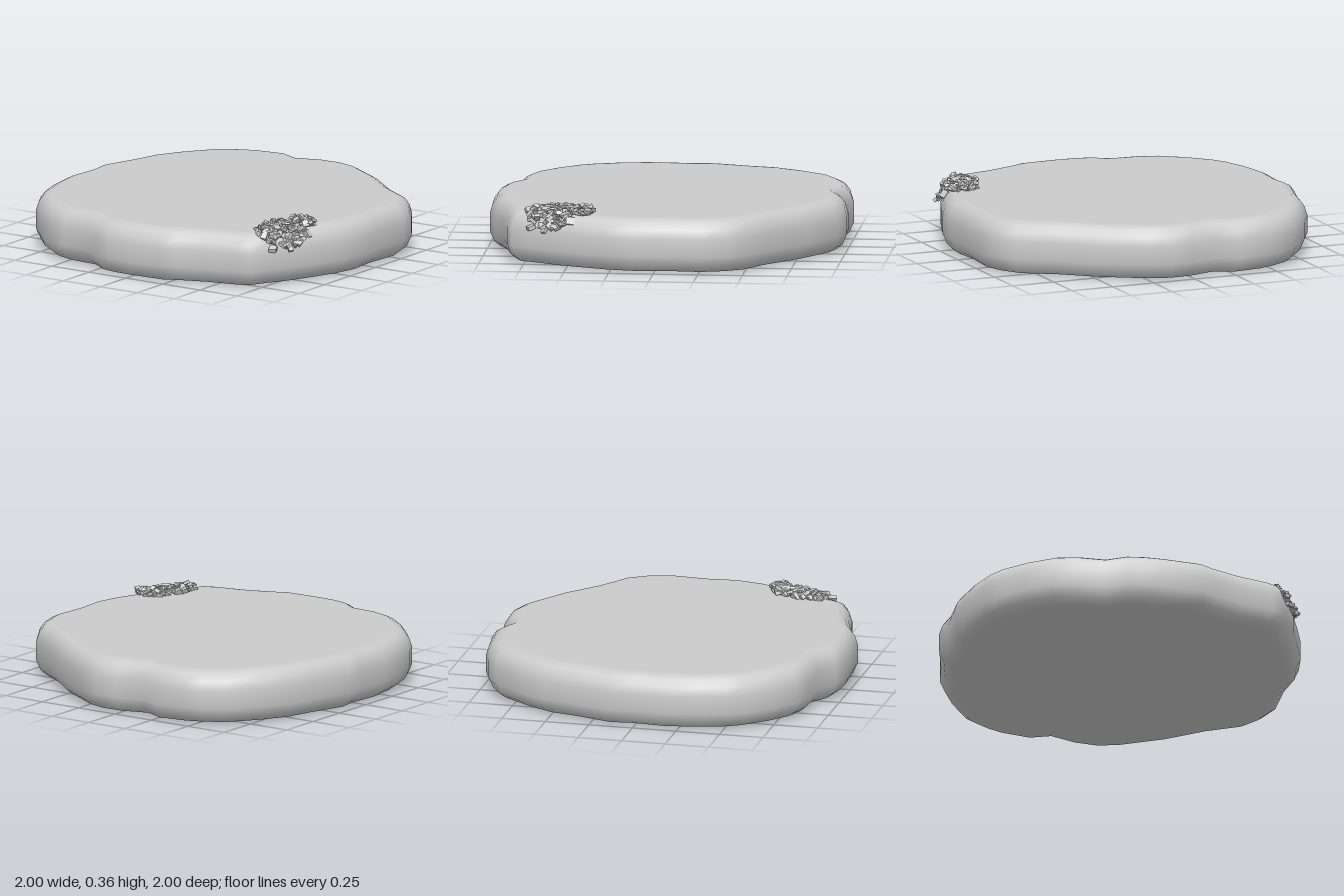
import * as THREE from 'three';
import { mergeGeometries } from 'three/addons/utils/BufferGeometryUtils.js';

const material = new THREE.MeshStandardMaterial({ color: 0xcccccc });

// Plan outline of the slab as x, z pairs, going from the back towards +x
const OUTLINE = [
  [-0.28, -1], [-0.16, -0.945], [0, -0.995], [0.13, -1], [0.25, -0.965], [0.5, -0.81], [0.7, -0.64],
  [0.89, -0.52], [0.96, -0.41], [1, -0.28], [0.985, -0.05], [1, 0.13], [0.97, 0.28], [0.9, 0.46],
  [0.84, 0.6], [0.77, 0.72], [0.72, 0.82], [0.65, 0.85], [0.47, 0.89], [0.3, 0.95], [0.22, 0.99],
  [0, 1], [-0.12, 0.995], [-0.22, 0.975], [-0.33, 0.9], [-0.5, 0.89], [-0.62, 0.85], [-0.75, 0.75],
  [-0.87, 0.62], [-0.92, 0.53], [-0.97, 0.37], [-1, 0.18], [-0.985, -0.02], [-1, -0.15],
  [-0.93, -0.37], [-0.89, -0.54], [-0.8, -0.7], [-0.67, -0.87], [-0.55, -0.94], [-0.46, -0.975],
];

// Rounded edge: scale of the outline and height, bottom to top
const RINGS = [
  [0.9, 0.005], [0.94, 0.012], [0.975, 0.04], [1, 0.1], [1, 0.2], [0.985, 0.25], [0.96, 0.285], [0.925, 0.303], [0.89, 0.305],
];

function slabGeometry() {
  const n = OUTLINE.length;
  const positions = [];
  const index = [];
  for (const [scale, y] of RINGS) {
    for (const [x, z] of OUTLINE) positions.push(x * scale, y, z * scale);
  }
  const bottom = n * RINGS.length;
  const top = bottom + 1;
  positions.push(0, 0.005, 0, 0, 0.305, 0);
  const last = n * (RINGS.length - 1);
  for (let i = 0; i < n; i++) {
    const j = (i + 1) % n;
    for (let r = 0; r < RINGS.length - 1; r++) {
      const a = r * n + i, b = r * n + j;
      index.push(a, a + n, b, b, a + n, b + n);
    }
    index.push(bottom, i, j, top, last + j, last + i);
  }
  const geometry = new THREE.BufferGeometry();
  geometry.setAttribute('position', new THREE.Float32BufferAttribute(positions, 3));
  geometry.setIndex(index);
  geometry.computeVertexNormals();
  return geometry;
}

function seededRandom(seed) {
  return () => {
    seed = (seed * 16807) % 2147483647;
    return seed / 2147483647;
  };
}

// Small tilted chips scattered over the slab's front left edge
function mossGeometry() {
  const random = seededRandom(4217);
  const chips = [];
  for (let i = 0; i < 130; i++) {
    const angle = random() * Math.PI * 2;
    const radius = Math.sqrt(random());
    const z = 0.545 + 0.185 * radius * Math.sin(angle);
    const x = 0.765 + 0.11 * radius * Math.cos(angle) - (z - 0.545) * 0.15;
    // Distance past the rim decides how far a chip hangs down the side
    const over = Math.max(0, 0.894 * x + 0.447 * z - 0.93);
    const y = 0.312 + random() * 0.02 - Math.min(0.1, over * over * 11);
    const chip = new THREE.BoxGeometry(0.025 + random() * 0.025, 0.008 + random() * 0.015, 0.025 + random() * 0.025);
    chip.rotateX((random() - 0.5) * 1.6);
    chip.rotateY(random() * Math.PI * 2);
    chip.rotateZ((random() - 0.5) * 1.6 - over * 5);
    chip.translate(x, y, z);
    chips.push(chip);
  }
  return mergeGeometries(chips);
}

export function createModel() {
  const model = new THREE.Group();
  model.name = 'mossyStoneSlab';
  const parts = { stoneSlab: slabGeometry(), mossPatch: mossGeometry() };
  for (const [name, geometry] of Object.entries(parts)) {
    const mesh = new THREE.Mesh(geometry, material);
    mesh.name = name;
    model.add(mesh);
  }
  return model;
}
